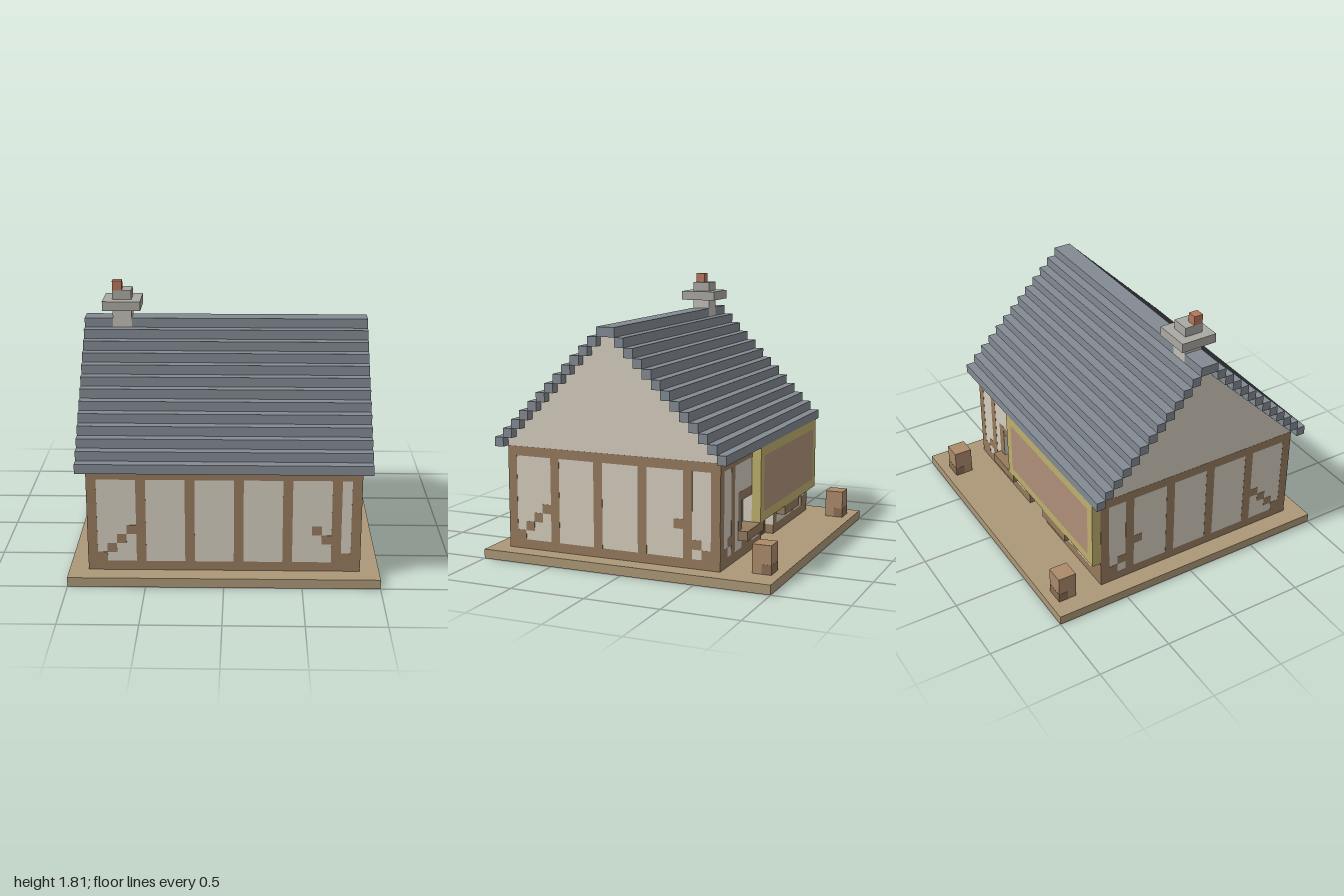
import * as THREE from 'three';

const U = 0.0625; // block size; all part coordinates below are in blocks
const E = 0.02; // how far timbers stand out from the plaster

const mat = (color) =>
  new THREE.MeshStandardMaterial({ color, flatShading: true, side: THREE.DoubleSide });
const M = {
  ground: mat(0xac9878), wood: mat(0x967a5d), plaster: mat(0xd4cdbd), slate: mat(0x828a92),
  stone: mat(0xaaa8a2), paleStone: mat(0xc0bdb4), brick: mat(0xb5765c), gold: mat(0xbdae6c),
  panel: mat(0xae9078), glass: mat(0x6c7e92), door: mat(0x735b47), crate: mat(0xab8a6a),
  crateDark: mat(0x8a6e56),
};

function add(parent, name, geometry, m) {
  const mesh = new THREE.Mesh(geometry, m);
  mesh.name = name;
  parent.add(mesh);
}

function group(parent, name) {
  const g = new THREE.Group();
  g.name = name;
  parent.add(g);
  return g;
}

// Box between two corners given in blocks
function box(parent, name, m, x0, x1, y0, y1, z0, z1) {
  const g = new THREE.BoxGeometry((x1 - x0) * U, (y1 - y0) * U, (z1 - z0) * U);
  g.translate((x0 + x1) / 2 * U, (y0 + y1) / 2 * U, (z0 + z1) / 2 * U);
  add(parent, name, g, m);
}

// Ground-plan outlines, [x, z] in blocks
const rect = (x0, x1, z0, z1) => [[x0, z1], [x1, z1], [x1, z0], [x0, z0]];
const OUTER = [[-14, 14], [14, 14], [14, -10], [8, -10], [8, -9], [5, -9], [5, -10],
  [2, -10], [2, -9], [-2, -9], [-2, -10], [-14, -10]];
const INNER = [[-13, 13], [13, 13], [13, -9], [9, -9], [9, -8], [4, -8], [4, -9],
  [3, -9], [3, -8], [-3, -8], [-3, -9], [-13, -9]];
const STACK = rect(-12, -10, 1, 3);
const CRATES = [rect(-14, -12, -15, -13), rect(11, 13, -15, -13)];

function planShape(outline, holes) {
  const flat = (pts) => pts.map(([x, z]) => new THREE.Vector2(x * U, -z * U));
  const s = new THREE.Shape(flat(outline));
  s.holes = holes.map((h) => new THREE.Path(flat(h)));
  return s;
}

// Horizontal sheet
function sheet(parent, name, m, y, outline, holes) {
  const g = new THREE.ShapeGeometry(planShape(outline, holes));
  g.rotateX(-Math.PI / 2).translate(0, y * U, 0);
  add(parent, name, g, m);
}

// Upright faces only, open above and below
function shell(parent, name, m, y0, y1, outline, holes = []) {
  const g = new THREE.ExtrudeGeometry(planShape(outline, holes),
    { depth: (y1 - y0) * U, bevelEnabled: false });
  const caps = g.groups[0].count;
  for (const key of ['position', 'normal', 'uv']) {
    const a = g.attributes[key];
    g.setAttribute(key, new THREE.BufferAttribute(a.array.slice(caps * a.itemSize), a.itemSize));
  }
  g.clearGroups();
  g.rotateX(-Math.PI / 2).translate(0, y0 * U, 0);
  add(parent, name, g, m);
}

// Ground, open underneath and beneath everything standing on it
function addBase(root) {
  const base = group(root, 'base');
  shell(base, 'baseRim', M.ground, 0, 1, rect(-16, 16, -16, 16));
  sheet(base, 'yard', M.ground, 1, rect(-16, 16, -16, 16), [OUTER, ...CRATES]);
  sheet(base, 'floor', M.ground, 1, INNER, [STACK]);
}

// Timbers of one wall; put() places a piece on that wall
function timberFrame(parent, put, lo, hi, posts, braces) {
  const f = group(parent, 'timberFrame');
  put(f, 'topBeam', lo, hi, 11, 12);
  posts.forEach((p) => put(f, 'post', p, p + 1, 2, 11));
  braces.forEach(([a, y]) => put(f, 'brace', a, a + 1, y, y + 1));
}

function addWalls(root) {
  const walls = group(root, 'walls');
  shell(walls, 'bottomBeams', M.wood, 1, 2, OUTER, [INNER]);
  shell(walls, 'plasterWalls', M.plaster, 2, 12, OUTER, [INNER]);

  timberFrame(walls, (p, n, a, b, y0, y1) => box(p, n, M.wood, a, b, y0, y1, 14, 14 + E),
    -14, 14, [-14, -9, -4, 1, 6, 11, 13],
    [[-13, 2], [-12, 3], [-11, 4], [-10, 5], [9, 5], [10, 4], [12, 2]]);
  timberFrame(walls, (p, n, a, b, y0, y1) => box(p, n, M.wood, a, b, y0, y1, -10 - E, -10),
    -14, 14, [-14, -9, -3, 2, 10, 13], [[12, 2], [11, 3], [-13, 2], [-12, 3]]);

  // both ends: stepped gable and timbers
  const pts = [];
  for (let i = 0; i < 12; i++) pts.push([-10 + i, 12 + i], [-10 + i, 13 + i]);
  for (let i = 11; i >= 0; i--) pts.push([14 - i, 13 + i], [14 - i, 12 + i]);
  const shape = new THREE.Shape(pts.map(([z, y]) => new THREE.Vector2(-z * U, y * U)));
  for (const s of [1, -1]) {
    const side = group(walls, s > 0 ? 'leftEnd' : 'rightEnd');
    const g = new THREE.ExtrudeGeometry(shape, { depth: U, bevelEnabled: false });
    g.rotateY(Math.PI / 2).translate(s > 0 ? 13 * U : -14 * U, 0, 0);
    add(side, 'gable', g, M.plaster);
    const x0 = s > 0 ? 14 : -14 - E;
    timberFrame(side, (p, n, a, b, y0, y1) => box(p, n, M.wood, x0, x0 + E, y0, y1, a, b),
      -10, 14, [13, 8, 3, -2, -7, -10],
      [[12, 2], [11, 3], [10, 4], [9, 5], [-6, 5], [-8, 3], [-9, 2]]);
  }
}

// Recessed door and window in the back wall, with projecting sills
function addOpenings(root) {
  const o = group(root, 'openings');
  box(o, 'door', M.door, -2, 2, 1, 7, -9 - E, -9);
  box(o, 'doorLintel', M.wood, -2, 2, 7, 12, -10, -9);
  box(o, 'pane', M.glass, 5, 8, 4, 7, -9 - E, -9);
  box(o, 'windowApron', M.wood, 5, 8, 1, 4, -10, -9);
  box(o, 'windowHead', M.wood, 5, 8, 7, 8, -10, -9);
  box(o, 'windowTopPlaster', M.plaster, 5, 8, 8, 12, -10, -9);
  box(o, 'windowPost', M.wood, 8, 9, 4, 8, -10 - E, -10);
  for (const x of [4, -8]) box(o, 'sill', M.wood, x, x + 5, 3, 4, -11, -10);
}

// Framed board over the back wall
function addBoard(root) {
  const b = group(root, 'board');
  box(b, 'boardPanel', M.panel, -13, 4, 5, 11, -11, -10);
  for (const y of [4, 11]) box(b, 'boardRail', M.gold, -14, 5, y, y + 1, -11, -10);
  for (const x of [-14, 4]) box(b, 'boardStile', M.gold, x, x + 1, 5, 11, -11, -10);
}

// Stepped slate courses climbing to the ridge
function addRoof(root) {
  const roof = group(root, 'roof');
  for (let i = 0; i < 12; i++) {
    box(roof, 'frontCourse', M.slate, -15, 15, 12 + i, 13 + i, 14 - i, 15 - i);
    box(roof, 'backCourse', M.slate, -15, 15, 12 + i, 13 + i, -11 + i, -10 + i);
  }
  // ridge, interrupted by the chimney
  box(roof, 'ridge', M.slate, -15, -12, 24, 25, 1, 3);
  box(roof, 'ridge', M.slate, -10, 15, 24, 25, 1, 3);
}

function addChimney(root) {
  const c = group(root, 'chimney');
  shell(c, 'stack', M.paleStone, 1, 26, STACK);
  box(c, 'cap', M.stone, -13, -9, 26, 27, 0, 4);
  box(c, 'stackTop', M.stone, -12, -10, 27, 28, 1, 3);
  box(c, 'pot', M.brick, -12, -11, 28, 29, 2, 3);
}

function addCrates(root) {
  for (const plan of CRATES) {
    const c = group(root, 'crate');
    const x = plan[0][0];
    shell(c, 'crateBody', M.crate, 1, 3, plan);
    box(c, 'crateLid', M.crate, x, x + 2, 3, 4, -15, -13);
    box(c, 'crateSlat', M.crateDark, x, x + 2, 1, 2, -15 - E, -15);
    for (const sx of [x - E, x + 2]) box(c, 'crateSlat', M.crateDark, sx, sx + E, 1, 2, -15, -14);
  }
}

export function createModel() {
  const root = new THREE.Group();
  root.name = 'timberHouse';
  addBase(root);
  addWalls(root);
  addOpenings(root);
  addBoard(root);
  addRoof(root);
  addChimney(root);
  addCrates(root);
  return root;
}
